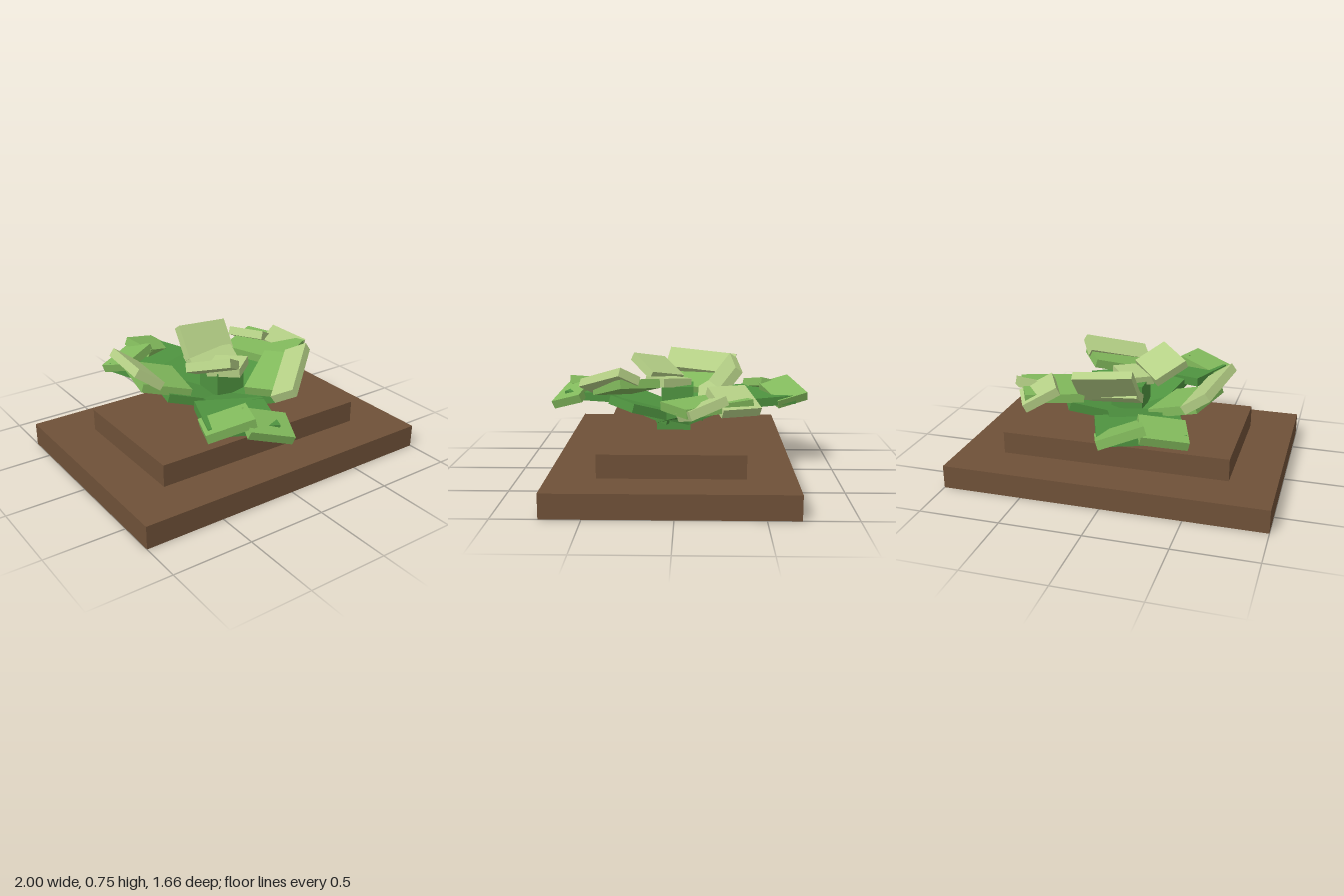
import * as THREE from 'three';

const mat = (name, color) => {
  const m = new THREE.MeshStandardMaterial({ color });
  m.name = name;
  return m;
};

export function createModel() {
  const model = new THREE.Group();
  const soil = mat('soil brown', 0x6f5138);
  const dark = mat('dark leaf green', 0x4f9440);
  const mid = mat('leaf green', 0x82ba5c);
  const pale = mat('pale leaf green', 0xb5d086);

  const box = (parent, name, material, w, h, d, x, y, z) => {
    const mesh = new THREE.Mesh(new THREE.BoxGeometry(w, h, d), material);
    mesh.name = name;
    mesh.position.set(x, y, z);
    parent.add(mesh);
    return mesh;
  };

  // Leaf group turned to its heading (degrees from the front); +z runs outward
  const leaf = (name, heading) => {
    const group = new THREE.Group();
    group.name = name;
    group.rotation.y = THREE.MathUtils.degToRad(heading);
    model.add(group);
    return group;
  };

  // Thin slab of a leaf: top centre at (side, y, out), rising outward and rolled sideways
  const slab = (group, name, material, w, d, side, y, out, rise, roll) => {
    const mesh = box(group, name, material, w, 0.055, d, side, y, out);
    mesh.rotation.set(THREE.MathUtils.degToRad(-rise), 0, THREE.MathUtils.degToRad(roll));
    mesh.translateY(-0.0275);
  };

  // Sloping stalk from the stem out to the blade
  const stalk = (group) => slab(group, 'stalk', dark, 0.32, 0.42, 0, 0.44, 0.2, 17, 0);

  // Stepped ground, stem and core
  box(model, 'lowerGround', soil, 2, 0.145, 1.425, 0, 0.0725, 0.0225);
  box(model, 'upperGround', soil, 1.43, 0.14, 0.855, 0, 0.215, 0.0225);
  box(model, 'stem', dark, 0.2, 0.1, 0.21, 0, 0.33, 0.025);
  box(model, 'core', dark, 0.2, 0.2, 0.2, 0, 0.46, 0);

  // Outer leaves
  const back = leaf('backLeaf', 200);
  stalk(back);
  slab(back, 'blade', dark, 0.51, 0.35, 0.01, 0.485, 0.54, 1, 0);
  slab(back, 'tipRight', mid, 0.28, 0.21, 0.137, 0.52, 0.68, -15, -11);
  slab(back, 'tipLeft', mid, 0.28, 0.21, -0.12, 0.52, 0.68, 12, 16);

  const left = leaf('leftLeaf', 116);
  stalk(left);
  slab(left, 'blade', mid, 0.43, 0.36, -0.05, 0.55, 0.5, 3, 3);
  slab(left, 'tipBack', pale, 0.25, 0.23, 0.085, 0.575, 0.6, -26, -2);
  slab(left, 'tipFront', pale, 0.25, 0.18, -0.143, 0.555, 0.615, 13, 16);

  const frontLeft = leaf('frontLeftLeaf', 32);
  stalk(frontLeft);
  slab(frontLeft, 'blade', mid, 0.38, 0.27, -0.02, 0.6, 0.365, 4, 15);
  slab(frontLeft, 'tip', pale, 0.45, 0.15, -0.046, 0.635, 0.46, 27, 18);

  const frontRight = leaf('frontRightLeaf', -21);
  stalk(frontRight);
  slab(frontRight, 'blade', dark, 0.42, 0.36, -0.05, 0.505, 0.555, -1, -3);
  slab(frontRight, 'tipRight', mid, 0.29, 0.21, -0.142, 0.535, 0.675, 0, 14);
  slab(frontRight, 'tipFront', mid, 0.28, 0.21, 0.1, 0.5, 0.705, -16, -17);

  const right = leaf('rightLeaf', -103);
  stalk(right);
  slab(right, 'blade', mid, 0.39, 0.32, -0.05, 0.545, 0.405, 16, 0);
  slab(right, 'tip', pale, 0.465, 0.19, -0.03, 0.64, 0.535, 36, 6);

  // Small inner leaves
  const innerBack = leaf('innerBackLeaf', 176);
  slab(innerBack, 'blade', pale, 0.35, 0.135, -0.047, 0.55, 0.19, 32, 5);
  slab(innerBack, 'tip', pale, 0.37, 0.225, -0.056, 0.64, 0.28, 53, 9);

  const innerLeft = leaf('innerLeftLeaf', 38);
  slab(innerLeft, 'blade', pale, 0.2, 0.215, -0.037, 0.605, 0.047, 5, 3);

  const innerRight = leaf('innerRightLeaf', -51);
  slab(innerRight, 'blade', pale, 0.275, 0.23, 0, 0.667, 0.2, 26, 12);

  return model;
}
